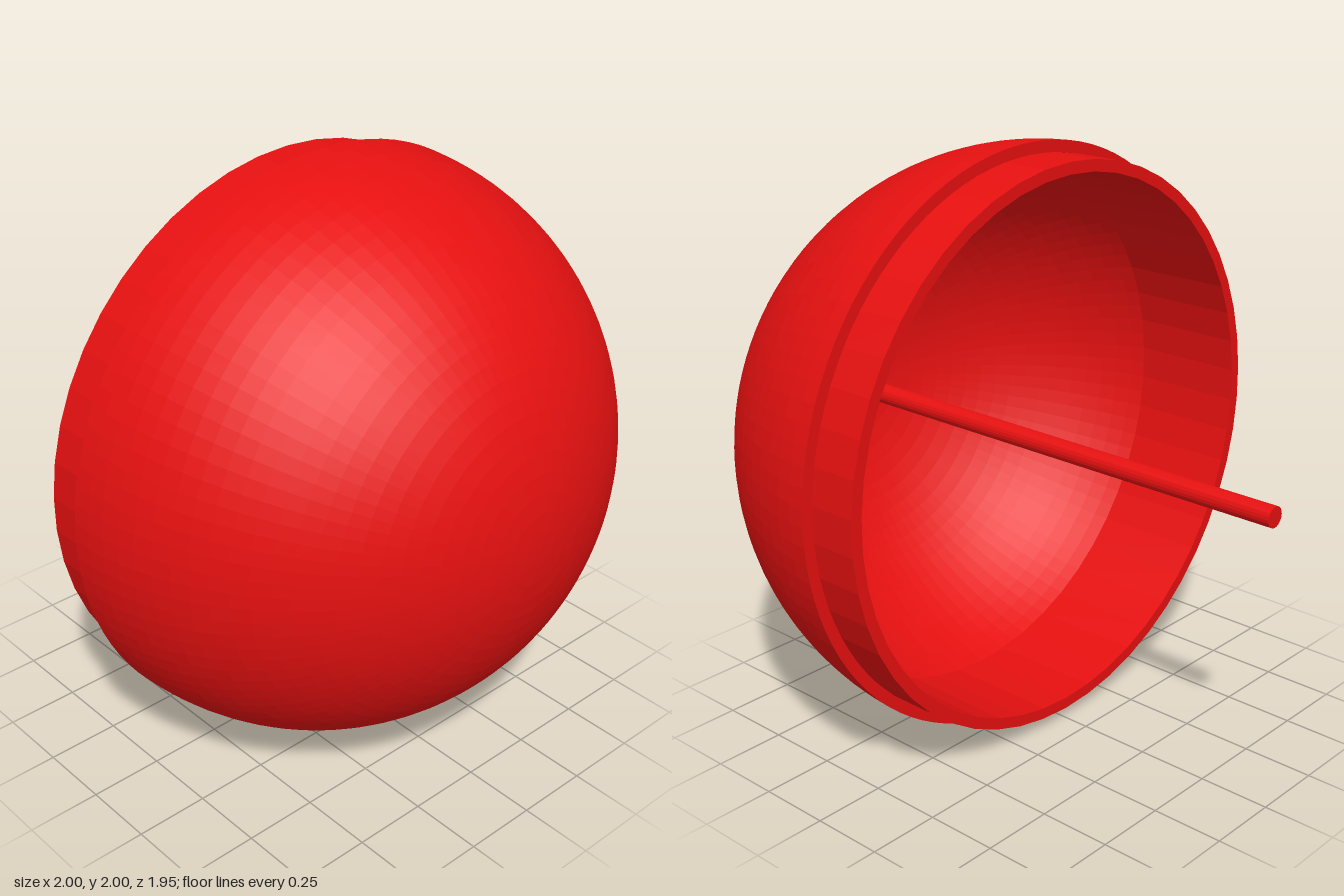
import * as THREE from 'three';

const CENTRE_Z = -0.025; // sphere centre along the axis
const R_OUT = 1, R_IN = 0.96, R_BORE = 0.92;
const RIM = 0.035, LIP = -0.135; // axial positions measured from the sphere centre

// Points on a circular arc between two axial positions
function arc(radius, from, to, steps) {
  const a0 = Math.asin(from / radius), a1 = Math.asin(to / radius);
  return Array.from({ length: steps + 1 }, (_, i) => {
    const a = a0 + (a1 - a0) * i / steps;
    return new THREE.Vector2(Math.max(0, radius * Math.cos(a)), radius * Math.sin(a));
  });
}

export function createModel() {
  const group = new THREE.Group();
  const material = new THREE.MeshStandardMaterial({ color: 0xe61010, flatShading: true });

  const add = (name, geometry) => {
    geometry.rotateX(Math.PI / 2); // turn the axis towards the front
    geometry.translate(0, 1, CENTRE_Z);
    const mesh = new THREE.Mesh(geometry, material);
    mesh.name = name;
    group.add(mesh);
  };

  // Hollow half sphere: inside from pole to rim, then outside back to the pole
  add('dome', new THREE.LatheGeometry([
    ...arc(R_IN, R_IN, RIM, 25),
    ...arc(R_OUT, RIM, R_OUT, 25),
  ], 100));

  // Inner collar projecting behind the rim, its bore meeting the dome's inside
  const boreEnd = Math.sqrt(R_IN ** 2 - R_BORE ** 2);
  add('collar', new THREE.LatheGeometry([
    [R_BORE, boreEnd], [R_BORE, LIP], [R_IN, LIP], [R_IN, RIM + 0.005],
  ].map(([r, y]) => new THREE.Vector2(r, y)), 50));

  // Central rod from inside the dome wall out through the back
  const front = 0.97, back = -0.95;
  const rod = new THREE.CylinderGeometry(0.035, 0.035, front - back, 20);
  rod.translate(0, (front + back) / 2, 0);
  add('rod', rod);

  return group;
}
